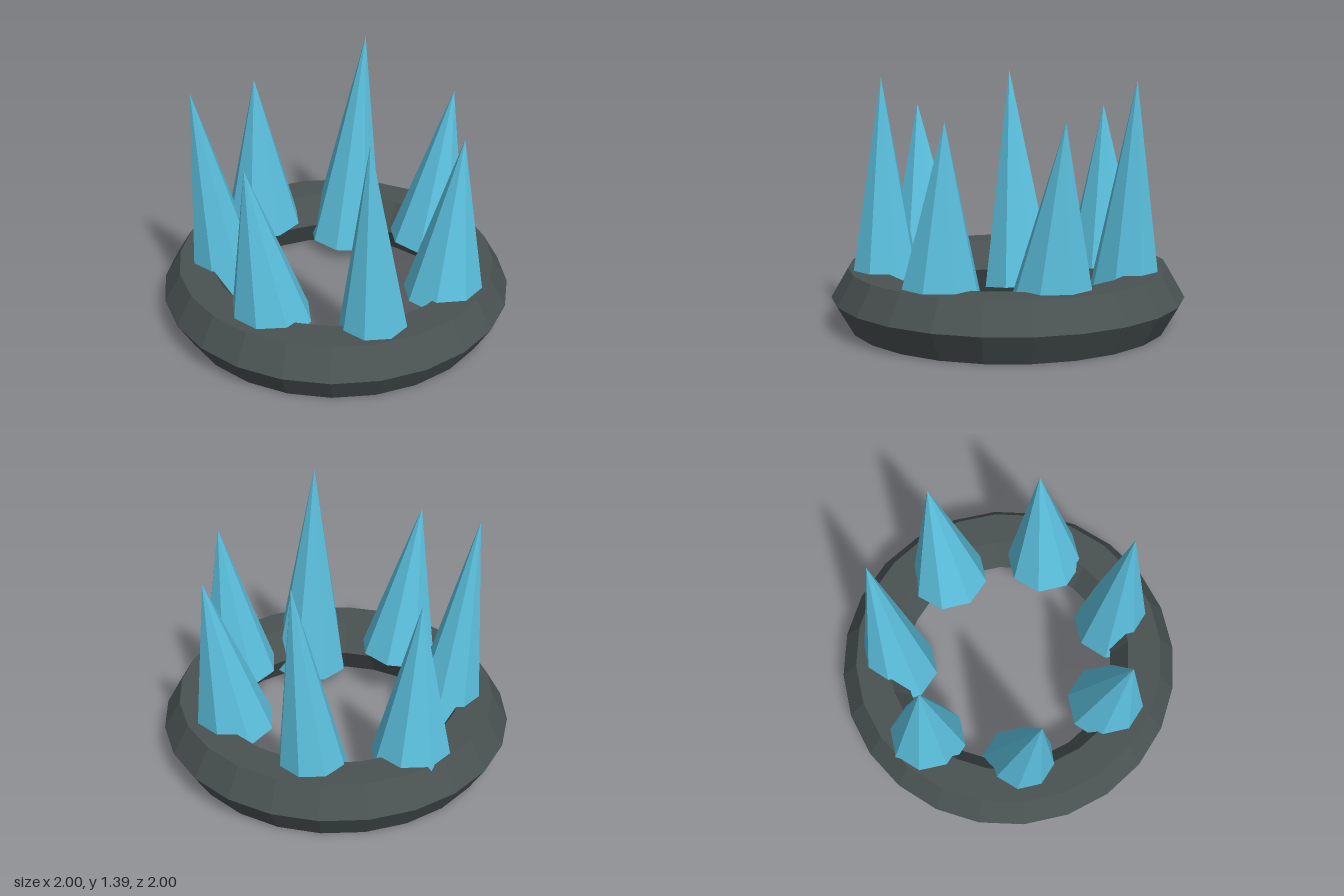
import * as THREE from 'three';

export function createModel() {
  const model = new THREE.Group();
  const stone = new THREE.MeshStandardMaterial({ color: 0x4a5252, flatShading: true });
  const crystal = new THREE.MeshStandardMaterial({ color: 0x5bc0de, flatShading: true });

  // Faceted base ring with a six-sided section
  const ring = new THREE.Mesh(new THREE.TorusGeometry(0.81, 0.19, 6, 24), stone);
  ring.name = 'baseRing';
  ring.rotation.x = Math.PI / 2;
  ring.position.y = 0.165;
  model.add(ring);

  // Seven crystal spikes, alternating short and tall, leaning sideways away from the middle
  const count = 7;
  for (let i = 0; i < count; i++) {
    const angle = (i / count) * Math.PI * 2;
    const height = i % 2 ? 1.33 : 0.95;
    const spike = new THREE.Mesh(new THREE.ConeGeometry(0.23, height, 8), crystal);
    spike.name = `crystalSpike${i + 1}`;
    spike.position.set(0.7 * Math.cos(angle), 0.73, -0.7 * Math.sin(angle));
    spike.rotation.z = -0.15 * Math.cos(angle);
    model.add(spike);
  }
  return model;
}
